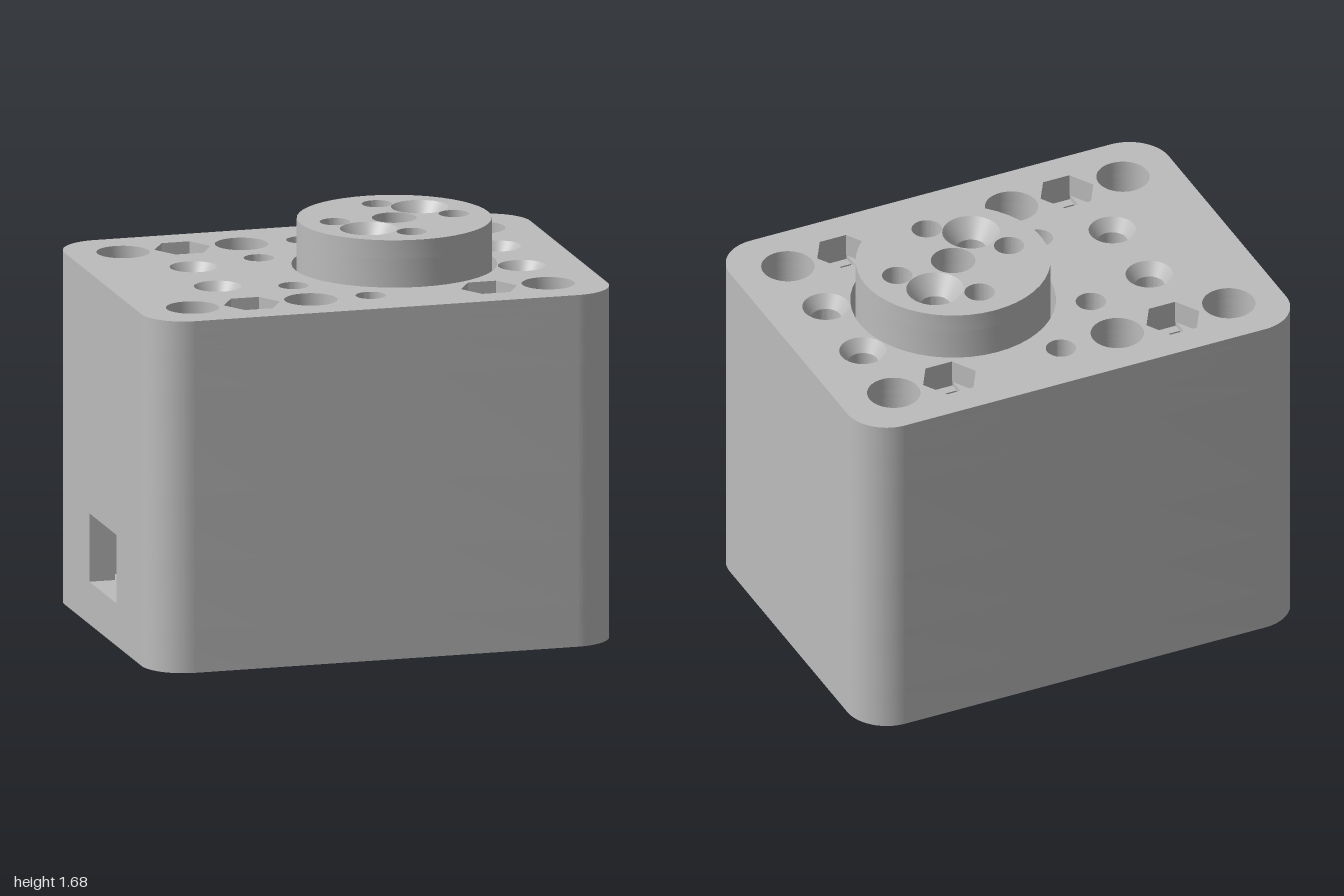
import * as THREE from 'three';
import { toCreasedNormals } from 'three/addons/utils/BufferGeometryUtils.js';

const HUB_X = 0.25;
const HEIGHT = 1.49;

// Hole outlines, given in plan coordinates (x, z)
function circle(x, z, r) {
  return new THREE.Path().absarc(x, -z, r, 0, Math.PI * 2, true);
}

function polygon(points) {
  return new THREE.Path(points.map(([x, z]) => new THREE.Vector2(x, -z))).closePath();
}

function hexagon(x, z, r) {
  return polygon(Array.from({ length: 6 }, (_, i) => {
    const a = (i * Math.PI) / 3;
    return [x + r * Math.cos(a), z + r * Math.sin(a)];
  }));
}

function rectangle(x, z, w, d) {
  return polygon([[x - w, z - d], [x + w, z - d], [x + w, z + d], [x - w, z + d]]);
}

// Rounded block outline, optionally with the cable slot and its inner chamber
function blockOutline(slotted) {
  const w = 1, d = 0.745, r = 0.18, s = new THREE.Shape();
  s.moveTo(-w + r, -d);
  s.lineTo(w - r, -d).absarc(w - r, -d + r, r, -Math.PI / 2, 0, false);
  s.lineTo(w, d - r).absarc(w - r, d - r, r, 0, Math.PI / 2, false);
  s.lineTo(-w + r, d).absarc(-w + r, d - r, r, Math.PI / 2, Math.PI, false);
  if (slotted) {
    s.lineTo(-w, 0.2).lineTo(-0.89, 0.2).lineTo(-0.89, 0.3).lineTo(0.3, 0.3);
    s.lineTo(0.3, -0.3).lineTo(-0.89, -0.3).lineTo(-0.89, -0.2).lineTo(-w, -0.2);
  }
  s.lineTo(-w, -d + r).absarc(-w + r, -d + r, r, Math.PI, Math.PI * 1.5, false);
  return s;
}

// Horizontal slab between two heights
function slab(outline, holes, y0, y1, material, name) {
  outline.holes.push(...holes);
  let g = new THREE.ExtrudeGeometry(outline, { depth: y1 - y0, bevelEnabled: false, curveSegments: 24 });
  g.rotateX(-Math.PI / 2);
  g.translate(0, y0, 0);
  g = toCreasedNormals(g, 0.6);
  const mesh = new THREE.Mesh(g, material);
  mesh.name = name;
  return mesh;
}

// Conical lining of a countersunk hole
function countersink(x, y, z, rTop, rBottom, depth, material) {
  const mesh = new THREE.Mesh(new THREE.LatheGeometry(
    [new THREE.Vector2(rTop, 0), new THREE.Vector2(rBottom, -depth)], 48), material);
  mesh.position.set(x, y, z);
  mesh.name = 'countersink';
  return mesh;
}

export function createModel() {
  const model = new THREE.Group();
  model.name = 'motorBlock';
  const grey = new THREE.MeshStandardMaterial({ color: 0xbcbcbc, side: THREE.DoubleSide });
  grey.name = 'light grey';

  const nutHoles = {
    bore: (x, z) => circle(x, z, 0.11),
    screw: (x, z) => circle(x, z, 0.0625),
    square: (x, z) => rectangle(x, z, 0.0625, 0.0625),
    strip: (x, z) => rectangle(x, z, 0.0625, 0.104),
    hex: (x, z) => hexagon(x, z, 0.12),
  };

  // Block, stacked from slabs: bottom, top, nut hole type, top recess radius (0 = none)
  const block = new THREE.Group();
  block.name = 'block';
  model.add(block);
  const layers = [
    [0, 0.18, 'bore', 0],
    [0.18, 0.47, 'bore', 0],
    [0.47, 0.75, 'bore', 0],
    [0.75, 1.2, 'screw', 0],
    [1.2, 1.35, 'screw', 0.0625],
    [1.35, 1.37, 'square', 0.0625],
    [1.37, 1.39, 'strip', 0.0625],
    [1.39, 1.435, 'hex', 0.0625],
    [1.435, HEIGHT, 'hex', 0.098],
  ];
  layers.forEach(([y0, y1, nut, recess], i) => {
    const holes = [];
    for (const z of [-0.51, 0.51]) {
      for (const x of [-0.765, -0.257, 0.762]) holes.push(circle(x, z, 0.11));
      holes.push(circle(0, z, 0.0625));
      for (const x of [-0.51, 0.508]) holes.push(nutHoles[nut](x, z));
    }
    if (recess) {
      holes.push(circle(HUB_X, 0, 0.424));
      for (const side of [-1, 1]) {
        holes.push(circle(-0.257, side * 0.255, 0.0625));
        for (const x of [-0.56, 0.745]) holes.push(circle(x, side * 0.178, recess));
      }
    }
    block.add(slab(blockOutline(i === 1), holes, y0, y1, grey, 'blockLayer'));
  });
  for (const z of [-0.178, 0.178]) {
    for (const x of [-0.56, 0.745]) block.add(countersink(x, HEIGHT, z, 0.098, 0.0625, 0.055, grey));
  }

  // Output hub: bottom, top, centre hole radius, screw hole radius
  const hub = new THREE.Group();
  hub.name = 'outputHub';
  model.add(hub);
  const hubTop = 1.685, sink = 0.155;
  const hubLayers = [
    [1.2, 1.3, 0, 0],
    [1.3, 1.45, 0.052, 0.0625],
    [1.45, 1.605, 0.092, 0.0625],
    [1.605, hubTop, 0.092, 0.119],
  ];
  for (const [y0, y1, centre, screw] of hubLayers) {
    const outline = new THREE.Shape().absarc(HUB_X, 0, 0.402, 0, Math.PI * 2, false);
    const holes = [];
    if (centre) {
      holes.push(circle(HUB_X, 0, centre));
      for (const s of [-1, 1]) {
        holes.push(circle(HUB_X + s * 0.255, 0, 0.0625), circle(HUB_X, s * 0.255, 0.0625));
        holes.push(circle(HUB_X + s * sink, -s * sink, screw));
      }
    }
    hub.add(slab(outline, holes, y0, y1, grey, 'hubLayer'));
  }
  for (const s of [-1, 1]) {
    hub.add(countersink(HUB_X + s * sink, hubTop, -s * sink, 0.119, 0.0625, 0.08, grey));
  }

  return model;
}
